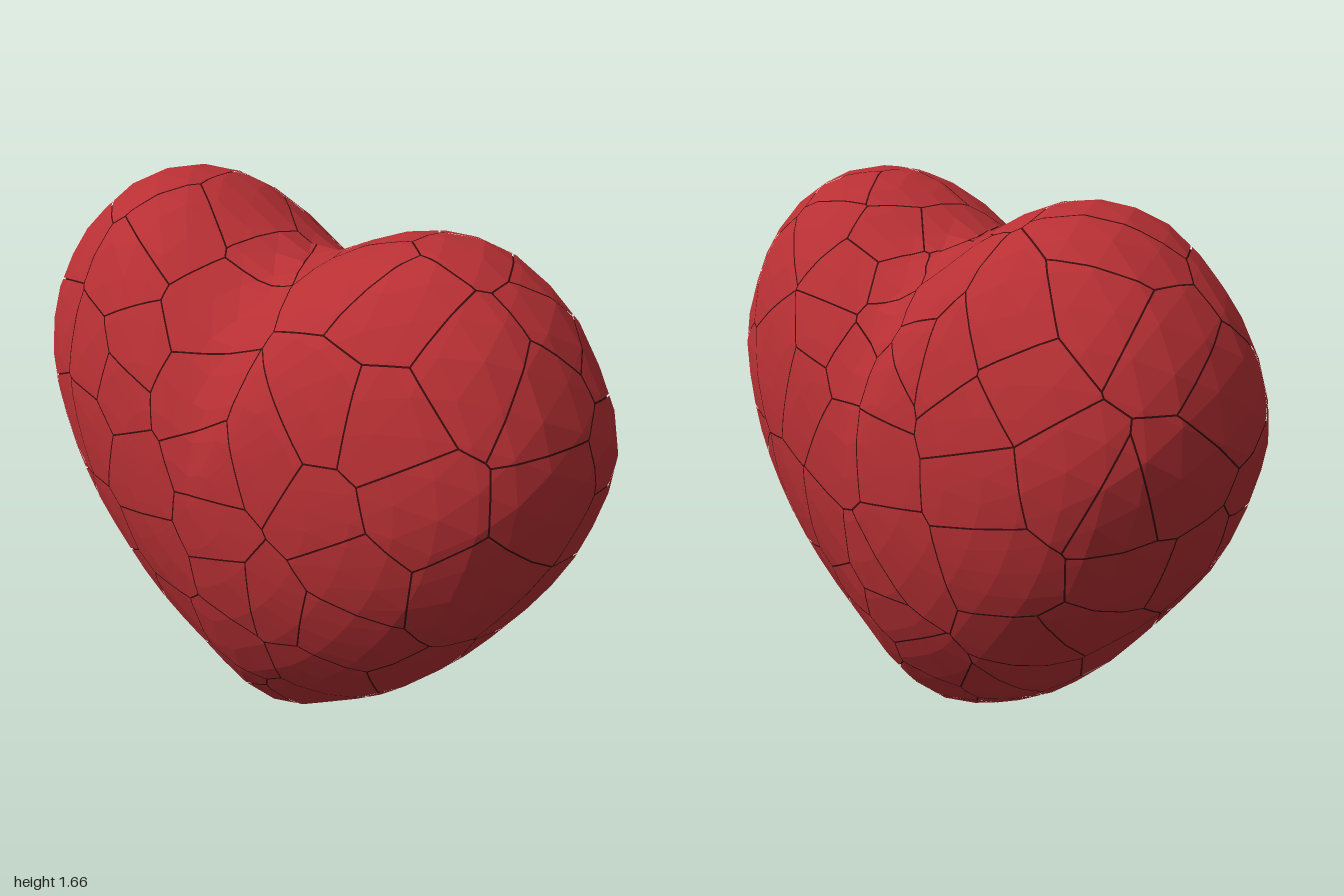
import * as THREE from 'three';

const CENTRE = new THREE.Vector3(0, 0.85, 0);
const SIDES = 44, RINGS = 20, PIECES = 120, GAP = 0.0025;

// Heart outline, clockwise from the cleft
const outline = new THREE.CatmullRomCurve3([
  [0, 1.495], [0.19, 1.565], [0.345, 1.632], [0.53, 1.65], [0.655, 1.615], [0.83, 1.495],
  [0.915, 1.37], [0.975, 1.25], [1, 1.09], [0.97, 0.955], [0.91, 0.795], [0.79, 0.6],
  [0.65, 0.425], [0.435, 0.22], [0.22, 0.075], [0.03, -0.02], [-0.22, 0.07], [-0.435, 0.205],
  [-0.63, 0.405], [-0.84, 0.665], [-0.975, 0.97], [-1, 1.12], [-0.93, 1.35], [-0.77, 1.54],
  [-0.6, 1.643], [-0.41, 1.656], [-0.16, 1.55],
].map(([x, y]) => new THREE.Vector3(x, y, 0)), true);

// Point on the puffed heart: u runs round the outline, v from the front pole to the back pole
function surfacePoint(u, v) {
  const s = Math.min(1, Math.sin(v * Math.PI));
  const d = outline.getPointAt(((u % 1) + 1) % 1).sub(CENTRE);
  const n = 1.93 + 0.7 * d.x * d.x / d.lengthSq(); // fuller towards the sides
  const z = 0.495 * Math.pow(Math.max(0, 1 - Math.pow(s, n)), 1 / n);
  const p = d.multiplyScalar(s).add(CENTRE);
  return new THREE.Vector3(p.x, Math.max(0, p.y), v < 0.5 ? z : -z);
}

// Staggered rings of triangles, all facing outwards
function heartTriangles() {
  const rows = [];
  for (let j = 0; j <= RINGS; j++) {
    const row = [];
    for (let i = 0; i < SIDES; i++) row.push(surfacePoint((i + (j % 2) / 2) / SIDES, j / RINGS));
    rows.push(row);
  }
  const triangles = [];
  const add = (a, b, c) => {
    const normal = b.clone().sub(a).cross(c.clone().sub(a));
    if (normal.length() < 1e-7) return;
    const out = a.clone().add(b).add(c).divideScalar(3).sub(CENTRE);
    triangles.push(normal.dot(out) > 0 ? [a, b, c] : [a, c, b]);
  };
  for (let j = 0; j < RINGS; j++) {
    for (let i = 0; i < SIDES; i++) {
      const k = (i + 1) % SIDES;
      const [p, q] = [rows[j], rows[j + 1]];
      if (j % 2) { add(p[i], p[k], q[k]); add(p[i], q[k], q[i]); }
      else { add(p[i], p[k], q[i]); add(p[k], q[k], q[i]); }
    }
  }
  return triangles;
}

function seededRandom(seed) {
  return () => {
    seed = (seed * 1664525 + 1013904223) % 4294967296;
    return seed / 4294967296;
  };
}

// Fragment centres scattered over the surface, kept a little apart
function scatterSeeds() {
  const random = seededRandom(17);
  const seeds = [];
  for (let t = 0; t < 6000 && seeds.length < PIECES; t++) {
    const p = surfacePoint(random(), Math.acos(1 - 2 * random()) / Math.PI);
    if (seeds.every(q => q.distanceTo(p) > 0.13)) seeds.push(p);
  }
  return seeds;
}

// Keep the part of a polygon behind a plane
function clip(polygon, normal, limit) {
  const result = [];
  polygon.forEach((a, i) => {
    const b = polygon[(i + 1) % polygon.length];
    const da = normal.dot(a) - limit, db = normal.dot(b) - limit;
    if (da <= 0) result.push(a);
    if ((da < 0 && db > 0) || (da > 0 && db < 0)) result.push(a.clone().lerp(b, da / (da - db)));
  });
  return result;
}

function polygonsToGeometry(polygons) {
  const points = [];
  for (const p of polygons) {
    for (let i = 1; i < p.length - 1; i++) points.push(p[0], p[i], p[i + 1]);
  }
  const geometry = new THREE.BufferGeometry().setFromPoints(points);
  geometry.computeVertexNormals();
  return geometry;
}

export function createModel() {
  const group = new THREE.Group();
  group.name = 'crackedHeart';
  const red = new THREE.MeshStandardMaterial({ color: 0xb83034, flatShading: true });
  const dark = new THREE.MeshStandardMaterial({ color: 0x3a0c0e, flatShading: true });
  const triangles = heartTriangles();
  const seeds = scatterSeeds();

  // Surface fragments: each is the skin nearest to its own seed, minus a hairline gap
  const shell = new THREE.Group();
  shell.name = 'fragments';
  seeds.forEach((seed, index) => {
    const planes = seeds.filter(o => o !== seed)
      .sort((a, b) => a.distanceTo(seed) - b.distanceTo(seed))
      .map(other => {
        const normal = other.clone().sub(seed).normalize();
        return { normal, limit: normal.dot(seed.clone().add(other).multiplyScalar(0.5)) - GAP };
      });
    const polygons = [];
    for (const triangle of triangles) {
      let polygon = triangle;
      for (const { normal, limit } of planes) {
        polygon = clip(polygon, normal, limit);
        if (polygon.length < 3) break;
      }
      if (polygon.length >= 3) polygons.push(polygon);
    }
    if (!polygons.length) return;
    const fragment = new THREE.Mesh(polygonsToGeometry(polygons), red);
    fragment.name = `fragment${index + 1}`;
    shell.add(fragment);
  });
  group.add(shell);

  // Dark core showing through the cracks
  const coreSkin = triangles.map(t => t.map(p => p.clone().sub(CENTRE).multiplyScalar(0.992).add(CENTRE)));
  const core = new THREE.Mesh(polygonsToGeometry(coreSkin), dark);
  core.name = 'core';
  group.add(core);
  return group;
}
